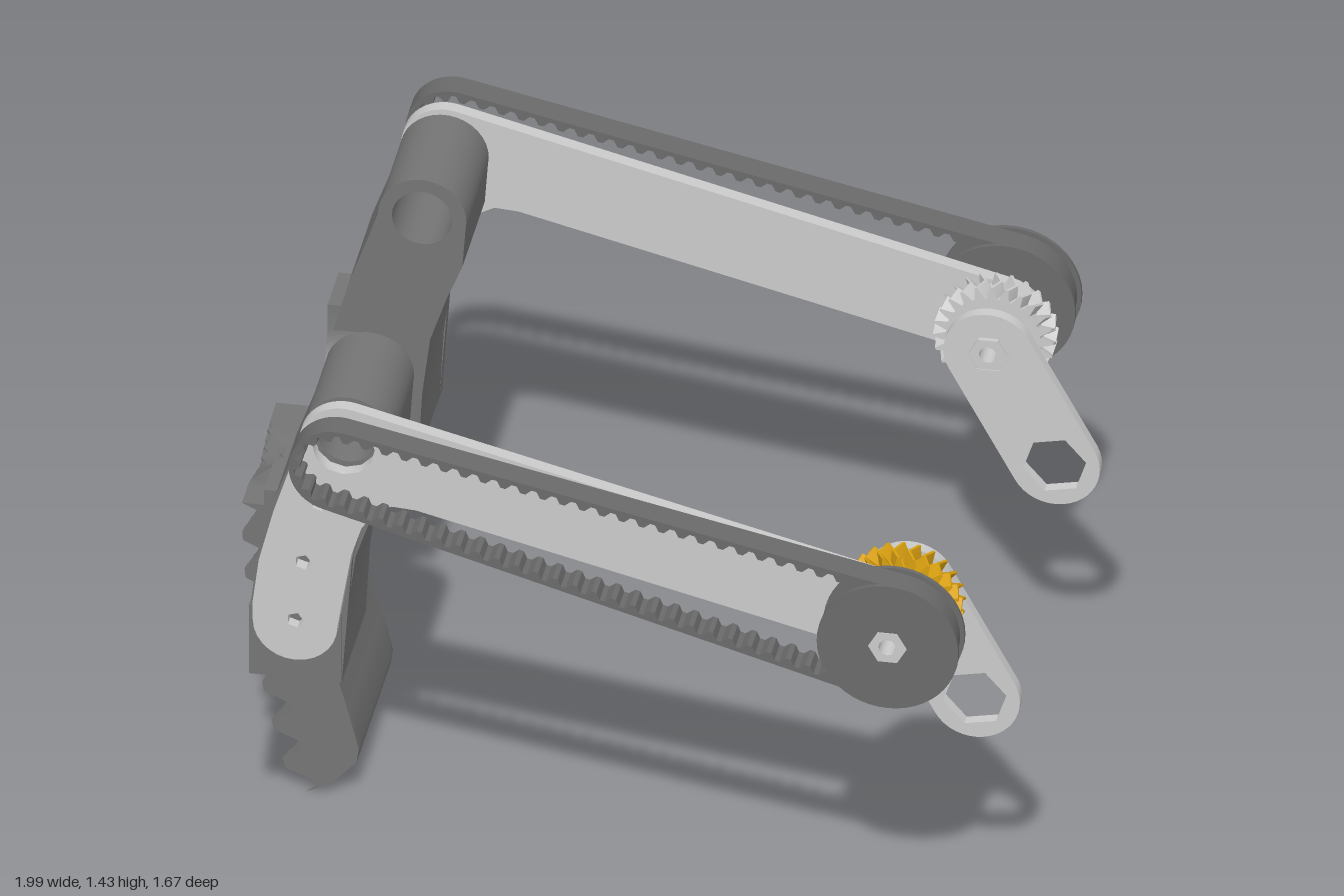
import * as THREE from 'three';
import { toCreasedNormals } from 'three/addons/utils/BufferGeometryUtils.js';

const mat = (name, color) => {
  const m = new THREE.MeshStandardMaterial({ color });
  m.name = name;
  return m;
};
const V = (x, y) => new THREE.Vector2(x, y);
const A = V(-0.66, 1.33), B = V(0.715, 0.99), C = V(0.88, 0.685);

// points on circles and arcs, angles in radians
const polar = (c, r, a) => V(c.x + r * Math.cos(a), c.y + r * Math.sin(a));
const arc = (c, r, a0, a1, n) =>
  Array.from({ length: n + 1 }, (_, i) => polar(c, r, a0 + (a1 - a0) * i / n));
const ring = (c, r, n, a = 0) => arc(c, r, a, a + Math.PI * 2, n).slice(0, -1);

// angles of the line joining two circles and of its outer tangents
function tangents(p, rp, q, rq) {
  const th = Math.atan2(q.y - p.y, q.x - p.x);
  return [th, Math.acos((rp - rq) / p.distanceTo(q))];
}
// counter-clockwise outline wrapped round two circles
function hull(p, rp, q, rq, n = 20) {
  const [th, f] = tangents(p, rp, q, rq);
  return [...arc(q, rq, th - f, th + f, n), ...arc(p, rp, th + f, th + Math.PI * 2 - f, n)];
}
function extrude(points, holes, depth, steps = 1) {
  const shape = new THREE.Shape(points);
  shape.holes = holes.map(h => new THREE.Path(h));
  return new THREE.ExtrudeGeometry(shape, { depth, steps, bevelEnabled: false });
}

export function createModel() {
  const body = mat('dark grey', 0x757575);
  const rubber = mat('belt grey', 0x6a6a6a);
  const metal = mat('light grey', 0xcbcbcb);
  const gold = mat('gold', 0xd9a010);
  const root = new THREE.Group();
  root.name = 'linkage';

  const add = (name, geo, material, parent = root) => {
    const m = new THREE.Mesh(toCreasedNormals(geo, 0.6), material);
    m.name = name;
    parent.add(m);
  };

  // curved rack with chevron teeth
  const rackX = (y, z) => {
    const p = (y - 0.83 - 0.3 * Math.abs(z)) / 0.108;
    const d = Math.abs(p - Math.round(p));
    const t = Math.min(1, Math.max(0, (0.36 - d) / 0.26));
    return -1 + 0.19 * (0.83 - y) ** 2 + 0.06 * t;
  };
  const rackPts = [];
  for (let i = 0; i <= 160; i++) {
    const y = 0.83 - 0.82 * i / 160;
    rackPts.push(V(rackX(y, 0.23), y));
  }
  rackPts.push(V(-0.78, 0.04), V(-0.715, 0.11), V(-0.71, 0.15), V(-0.735, 0.25), V(-0.765, 0.36),
    V(-0.785, 0.5), V(-0.8, 0.65), V(-0.8, 0.83));
  const rack = extrude(rackPts, [], 0.46, 16).translate(0, 0, -0.23);
  const pos = rack.attributes.position;
  for (let i = 0; i < pos.count; i++) {
    const x = pos.getX(i), y = pos.getY(i);
    if (Math.abs(x - rackX(y, 0.23)) < 1e-4) pos.setX(i, rackX(y, pos.getZ(i)));
  }
  add('toothedRack', rack, body);

  // yoke web with rounded corners, seen from the side
  const half = [
    V(0.23, 0.45), ...arc(V(0.28, 0.58), 0.05, Math.PI, Math.PI / 2, 6), V(0.5, 0.63), V(0.5, 1.05),
    V(0.352, 1.05), V(0.35, 0.98), V(0.325, 0.92), V(0.29, 0.87), V(0.25, 0.84), V(0.2, 0.83),
  ];
  const other = half.map(p => V(-p.x, p.y)).reverse();
  add('yokeWeb', extrude([...half, ...other], [], 0.115).rotateY(Math.PI / 2).translate(-0.895, 0, 0), body);

  // crossbar that thickens towards both ends, seen from above
  const front = [V(-0.785, 0.2), V(-0.775, 0.25), V(-0.75, 0.3), V(-0.71, 0.34), V(-0.68, 0.38),
    V(-0.67, 0.42), V(-0.67, 0.675)];
  const plan = [V(-0.9, 0.675), V(-0.9, -0.675), ...front.map(p => V(p.x, -p.y)).reverse(), ...front];
  add('crossbar', extrude(plan, [], 0.2).rotateX(-Math.PI / 2).translate(0, 0.628, 0), body);

  // toothed inner side of the belt
  const rim = new THREE.Path(hull(A, 0.115, B, 0.165, 40));
  rim.closePath();
  const beltSteps = 74 * 4, inner = [];
  for (let i = 0; i < beltSteps; i++) {
    const p = rim.getPointAt(i / beltSteps), t = rim.getTangentAt(i / beltSteps);
    const d = i % 4 < 2 ? 0.012 : 0.028;
    inner.push(V(p.x - t.y * d, p.y + t.x * d));
  }

  // arm plate outline: bent leg plus long arm
  const [th, f] = tangents(A, 0.112, B, 0.11);
  const armPts = [
    ...arc(B, 0.11, th - f, th + f, 20), ...arc(A, 0.112, th + f, Math.PI * 1.03, 14),
    V(-0.8, 1.23), V(-0.835, 1.12), V(-0.87, 0.98), V(-0.885, 0.86),
    ...arc(V(-0.78, 0.805), 0.105, Math.PI, Math.PI * 2, 14),
    V(-0.66, 0.9), V(-0.64, 1.02), V(-0.615, 1.1), V(-0.58, 1.15), V(-0.54, 1.172), V(-0.48, 1.168),
  ];
  const bolts = [V(-0.72, 1.16), V(-0.76, 0.985), V(-0.78, 0.815)].map(c => ring(c, 0.022, 5));

  // upright outline with a round boss on top, and the pad beside it
  const uprightPts = [
    V(-0.9, 0.63), V(-0.67, 0.63), V(-0.66, 0.82), V(-0.64, 0.98), V(-0.6, 1.1), V(-0.56, 1.2),
    ...arc(A, 0.11, -0.2, Math.PI, 18), V(-0.8, 1.24), V(-0.84, 1.13), V(-0.88, 0.98), V(-0.9, 0.8),
  ];
  const padPts = [V(-0.9, 0.63), V(-0.67, 0.63), V(-0.645, 0.98), V(-0.62, 1.1), V(-0.62, 1.2),
    V(-0.79, 1.2), V(-0.84, 1.1), V(-0.88, 0.97), V(-0.9, 0.8)];

  // gear outline, two outer then two inner points per tooth
  const gearSteps = 24 * 4, gearPts = [];
  for (let i = 0; i < gearSteps; i++) {
    const a = (i + (i % 2 ? -0.15 : 0.15)) * Math.PI * 2 / gearSteps;
    gearPts.push(polar(V(0, 0), i % 4 < 2 ? 0.15 : 0.118, a));
  }

  for (const s of [1, -1]) {
    const side = new THREE.Group();
    side.name = s > 0 ? 'frontSide' : 'backSide';
    root.add(side);
    const slab = (name, pts, holes, z0, z1, m) =>
      add(name, extrude(pts, holes, z1 - z0).translate(0, 0, s > 0 ? z0 : -z1), m, side);

    slab('upright', uprightPts, [ring(A, 0.075, 28)], 0.35, 0.65, body);
    slab('uprightPad', padPts, [], 0.64, 0.671, body);
    slab('armPlate', armPts, [ring(A, 0.078, 12), ring(B, 0.04, 6), ...bolts], 0.67, 0.705, metal);
    slab('belt', hull(A, 0.115, B, 0.165, 40), [inner], 0.748, 0.818, rubber);

    // flanged pulley
    const bore = [ring(B, 0.046, 6)];
    slab('pulleyCore', ring(B, 0.14, 48), bore, 0.742, 0.824, rubber);
    slab('pulleyInnerFlange', ring(B, 0.176, 48), bore, 0.735, 0.746, rubber);
    slab('pulleyOuterFlange', ring(B, 0.176, 48), bore, 0.82, 0.831, rubber);

    // hollow hexagonal axle and crank
    slab('axle', ring(B, 0.048, 6), [ring(B, 0.022, 12)], 0.513, 0.833, metal);
    slab('crank', hull(B, 0.112, C, 0.112), [ring(B, 0.055, 6), ring(C, 0.08, 6, 0.2)], 0.52, 0.55, metal);
    slab('crankHub', ring(B, 0.062, 6), [ring(B, 0.03, 12)], 0.525, 0.565, metal);

    // gear with chevron teeth, twisted out and back
    const gear = extrude(gearPts, [ring(V(0, 0), 0.046, 6)], 0.07, 2).translate(0, 0, -0.035);
    const g = gear.attributes.position, v = V(0, 0), centre = V(0, 0);
    for (let i = 0; i < g.count; i++) {
      v.set(g.getX(i), g.getY(i));
      if (v.length() < 0.1) continue;
      v.rotateAround(centre, s * 0.13 * (1 - Math.abs(g.getZ(i)) / 0.035));
      g.setXY(i, v.x, v.y);
    }
    add('gear', gear.translate(B.x, B.y, s * 0.62), s > 0 ? gold : metal, side);
  }
  return root;
}
